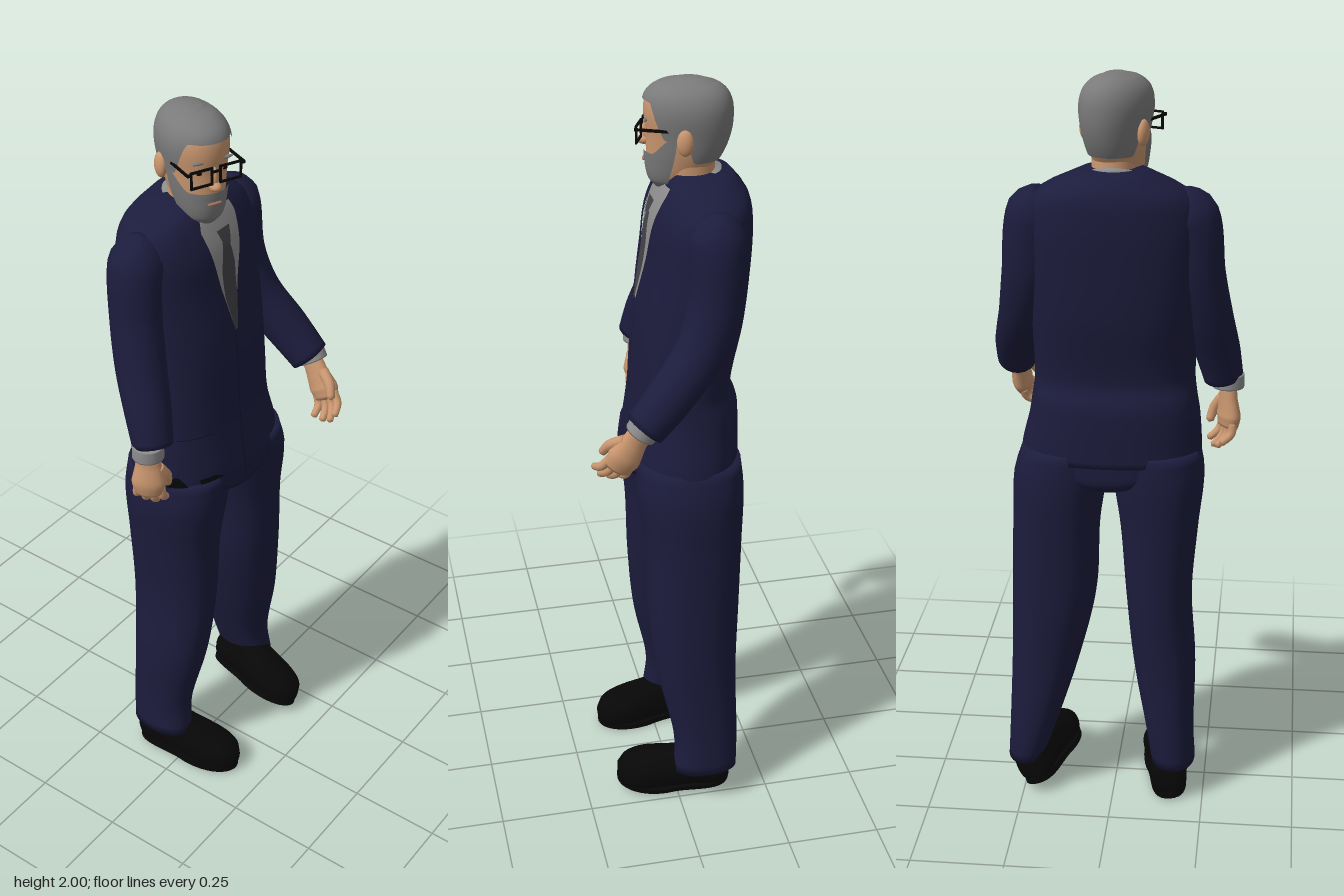
import * as THREE from 'three';
import { mergeVertices } from 'three/addons/utils/BufferGeometryUtils.js';

const mat = (name, color) => {
  const m = new THREE.MeshStandardMaterial({ color });
  m.name = name;
  return m;
};

// Weld and smooth a geometry
function smooth(geo) {
  geo.deleteAttribute('uv');
  geo.deleteAttribute('normal');
  const g = mergeVertices(geo, 1e-5);
  g.computeVertexNormals();
  return g;
}

// Grid surface from a function of (column, row), both 0..1
function grid(cols, rows, fn) {
  const pos = [], idx = [];
  for (let j = 0; j <= rows; j++) for (let i = 0; i <= cols; i++) pos.push(...fn(i / cols, j / rows));
  for (let j = 0; j < rows; j++) for (let i = 0; i < cols; i++) {
    const a = j * (cols + 1) + i, c = a + cols + 1;
    idx.push(a, a + 1, c + 1, a, c + 1, c);
  }
  const g = new THREE.BufferGeometry();
  g.setAttribute('position', new THREE.Float32BufferAttribute(pos, 3));
  g.setIndex(idx);
  return smooth(g);
}

// Smooth interpolation of sections [y, cx, cz, rx, rz]
function sectionAt(S, y) {
  let k = 0;
  while (k < S.length - 2 && y > S[k + 1][0]) k++;
  const a = S[k], b = S[k + 1], h = b[0] - a[0];
  const t = THREE.MathUtils.clamp((y - a[0]) / h, 0, 1), t2 = t * t, t3 = t2 * t;
  const slope = (i, c) => {
    const p = S[Math.max(i - 1, 0)], q = S[Math.min(i + 1, S.length - 1)];
    return (q[c] - p[c]) / (q[0] - p[0]);
  };
  return [1, 2, 3, 4].map(c => (2 * t3 - 3 * t2 + 1) * a[c] + (t3 - 2 * t2 + t) * h * slope(k, c)
    + (3 * t2 - 2 * t3) * b[c] + (t3 - t2) * h * slope(k + 1, c));
}

// Surface around the sections; u = 0 is the front, low and high give its edges
function wrap(S, { n = 2, off = 0, u = Math.PI, low = () => S[0][0], high = () => S[S.length - 1][0],
  cols = 40, rows = 36, capLow = true, capHigh = true } = {}) {
  return grid(cols, rows + 2, (a, b) => {
    const ang = (a * 2 - 1) * u, r = Math.round(b * (rows + 2));
    const y = THREE.MathUtils.lerp(low(ang), high(ang), THREE.MathUtils.clamp((r - 1) / rows, 0, 1));
    const [cx, cz, rx, rz] = sectionAt(S, y);
    const k = (capLow && r === 0) || (capHigh && r === rows + 2) ? 0 : 1;
    const pw = v => Math.sign(v) * Math.abs(v) ** (2 / n);
    return [cx + k * (rx + off) * pw(Math.sin(ang)), y, cz + k * (rz + off) * pw(Math.cos(ang))];
  });
}

// Thin cloth lying on the front of a body; rows are [y, left x, right x] from low to high
function plate(S, n, rows, off) {
  const fine = 8 * (rows.length - 1);
  return grid(8, fine, (a, b) => {
    const f = Math.min(b * (rows.length - 1), rows.length - 1.0001), k = Math.floor(f);
    const [y, l, r] = rows[k].map((v, c) => THREE.MathUtils.lerp(v, rows[k + 1][c], f - k));
    const [cx, cz, rx, rz] = sectionAt(S, y), x = THREE.MathUtils.lerp(l, r, a);
    const t = Math.min(Math.abs((x - cx) / rx), 1);
    return [x, y, cz + rz * (1 - t ** n) ** (1 / n) + off];
  });
}

// Tapered closed tube through points [x, y, z, radius]
function limb(P, seg = 32, sides = 16) {
  const curve = new THREE.CatmullRomCurve3(P.map(p => new THREE.Vector3(p[0], p[1], p[2])));
  const g = new THREE.TubeGeometry(curve, seg, 1, sides), pos = g.attributes.position, v = new THREE.Vector3();
  for (let i = 0; i <= seg; i++) {
    const c = curve.getPointAt(i / seg), f = curve.getUtoTmapping(i / seg) * (P.length - 1);
    const k = Math.min(Math.floor(f), P.length - 2);
    const r = i === 0 || i === seg ? 0 : THREE.MathUtils.lerp(P[k][3], P[k + 1][3], f - k);
    for (let j = 0; j <= sides; j++) {
      const id = i * (sides + 1) + j;
      v.fromBufferAttribute(pos, id).sub(c).multiplyScalar(r).add(c);
      pos.setXYZ(id, v.x, v.y, v.z);
    }
  }
  return smooth(g);
}

export function createModel() {
  const suit = mat('navy suit', 0x1c1c3d), skin = mat('skin', 0xc9966f), hair = mat('grey hair', 0x7a7a7a);
  const shirt = mat('grey shirt', 0x8c8c8c), tie = mat('dark tie', 0x424247), black = mat('black', 0x070707);
  const seam = mat('dark seam', 0x12122a), lips = mat('lips', 0xa0705a);
  const root = new THREE.Group();
  const add = (name, geo, m, parent = root) => {
    const mesh = new THREE.Mesh(geo, m);
    mesh.name = name;
    parent.add(mesh);
    return mesh;
  };

  // Jacket body
  const T = [[0.95, 0.01, -0.045, 0.24, 0.145], [1.03, 0.008, -0.046, 0.236, 0.145], [1.12, 0, -0.053, 0.222, 0.139],
    [1.17, 0, -0.054, 0.214, 0.135], [1.22, 0, -0.046, 0.208, 0.124], [1.4, 0, -0.069, 0.212, 0.134], [1.55, 0, -0.088, 0.218, 0.128],
    [1.65, 0, -0.096, 0.215, 0.123], [1.72, 0, -0.104, 0.182, 0.106], [1.768, 0, -0.098, 0.078, 0.074]];
  const N = 2.3;
  add('jacketBody', wrap(T, { n: N, low: u => 1.005 - 0.045 * Math.max(0, Math.cos(u)) ** 8, rows: 48, cols: 56 }), suit);
  add('shirtFront', plate(T, N, [[1.43, -0.014, -0.006], [1.58, -0.045, 0.036], [1.7, -0.075, 0.07], [1.74, -0.06, 0.06]], 0.004), shirt);
  add('tieBlade', plate(T, N, [[1.43, -0.014, -0.004], [1.52, -0.033, 0.014], [1.6, -0.034, 0.018], [1.665, -0.018, 0.008]], 0.008), tie);
  add('tieKnot', plate(T, N, [[1.66, -0.018, 0.008], [1.7, -0.03, 0.02]], 0.012), tie);
  for (const s of [-1, 1]) {
    const lapel = [[1.42, 0, 0.012], [1.55, 0.03, 0.085], [1.63, 0.047, 0.11], [1.73, 0.068, 0.1]];
    const row = r => s > 0 ? r : [r[0], -r[2] - 0.01, -r[1] - 0.01];
    add('lapel', plate(T, N, lapel.map(row), 0.006), suit);
    add('pocketSeam', plate(T, N, [[1.165, 0.1, 0.185], [1.168, 0.1, 0.185]].map(row), 0.003), seam);
  }
  add('frontSeam', plate(T, N, [[0.99, -0.014, -0.011], [1.42, -0.011, -0.008]], 0.003), seam);
  add('liningFold', plate(T, N, [[1.03, -0.16, -0.09], [1.045, -0.165, -0.12]], 0.004), black);
  add('liningFold', plate(T, N, [[1.03, -0.222, -0.19], [1.06, -0.218, -0.205]], 0.006), black);

  // Trousers
  add('trouserSeat', wrap([[0.92, 0.012, -0.05, 0.06, 0.09], [0.945, 0.012, -0.05, 0.15, 0.128], [0.99, 0.01, -0.046, 0.226, 0.139],
    [1.08, 0, -0.05, 0.21, 0.13]], { n: N }), suit);
  const legs = {
    right: [[0.1, -0.165, -0.073, 0.06, 0.09], [0.2, -0.155, -0.078, 0.065, 0.088], [0.4, -0.137, -0.058, 0.084, 0.108],
      [0.6, -0.12, -0.053, 0.088, 0.122], [0.8, -0.119, -0.053, 0.103, 0.128], [0.95, -0.115, -0.047, 0.121, 0.14], [1.03, -0.107, -0.047, 0.117, 0.134]],
    left: [[0.1, 0.246, -0.073, 0.05, 0.088], [0.2, 0.225, -0.078, 0.065, 0.088], [0.4, 0.19, -0.058, 0.093, 0.108],
      [0.6, 0.165, -0.053, 0.114, 0.122], [0.8, 0.157, -0.053, 0.116, 0.128], [0.95, 0.143, -0.047, 0.124, 0.14], [1.03, 0.127, -0.047, 0.115, 0.134]],
  };
  for (const side in legs) add(side + 'TrouserLeg', wrap(legs[side], { n: 2.2 }), suit);

  // Shoes, lofted along their length, with flat soles
  const shoeGeo = wrap([[-0.15, 0, -0.05, 0.03, 0.03], [-0.13, 0, -0.055, 0.046, 0.06], [-0.05, 0, -0.06, 0.05, 0.065],
    [0.02, 0, -0.052, 0.056, 0.062], [0.09, 0, -0.044, 0.062, 0.051], [0.14, 0, -0.038, 0.047, 0.04], [0.162, 0, -0.034, 0.02, 0.022]], { n: 2.3 });
  shoeGeo.rotateX(Math.PI / 2);
  const shoePos = shoeGeo.attributes.position;
  for (let i = 0; i < shoePos.count; i++) shoePos.setY(i, Math.max(shoePos.getY(i), 0.012));
  shoeGeo.computeVertexNormals();
  const sole = new THREE.Shape();
  sole.moveTo(0, 0.163);
  sole.bezierCurveTo(0.05, 0.163, 0.078, 0.08, 0.056, 0);
  sole.bezierCurveTo(0.045, -0.06, 0.06, -0.15, 0, -0.152);
  sole.bezierCurveTo(-0.06, -0.15, -0.045, -0.06, -0.056, 0);
  sole.bezierCurveTo(-0.078, 0.08, -0.05, 0.163, 0, 0.163);
  const soleGeo = new THREE.ExtrudeGeometry(sole, { depth: 0.018, bevelEnabled: false, curveSegments: 12 });
  soleGeo.rotateX(Math.PI / 2).translate(0, 0.018, 0);
  for (const [name, x, yaw, roll, y] of [['rightShoe', -0.145, 0.12, -0.08, 0.005], ['leftShoe', 0.186, -0.19, -0.34, 0.028]]) {
    const shoe = new THREE.Group();
    shoe.name = name;
    shoe.position.set(x, y, 0);
    shoe.rotation.set(0, yaw, roll);
    add('shoeUpper', shoeGeo, black, shoe);
    add('shoeSole', soleGeo, black, shoe);
    root.add(shoe);
  }

  // Sleeves, cuffs and hands
  const arms = [
    ['left', 1, [[0.15, 1.69, -0.1, 0.04], [0.193, 1.655, -0.098, 0.073], [0.215, 1.5, -0.088, 0.069], [0.237, 1.38, -0.045, 0.064],
      [0.266, 1.28, 0.035, 0.059], [0.281, 1.195, 0.112, 0.052]], [0.28, 1.195, 0.112], [-0.55, 0, -0.1]],
    ['right', -1, [[-0.14, 1.69, -0.1, 0.04], [-0.188, 1.655, -0.095, 0.073], [-0.212, 1.5, -0.083, 0.069], [-0.238, 1.38, -0.055, 0.064],
      [-0.262, 1.28, -0.018, 0.059], [-0.28, 1.19, 0.01, 0.051]], [-0.292, 1.175, 0.002], [0, 0.5, 0]],
  ];
  for (const [side, s, path, wrist, turn] of arms) {
    add(side + 'Sleeve', limb(path, 40, 20), suit);
    const hand = new THREE.Group();
    hand.name = side + 'Hand';
    hand.position.set(...wrist);
    hand.rotation.set(...turn);
    add('shirtCuff', limb([[0, 0.04, 0, 0.04], [0, 0.02, 0, 0.041], [0, -0.004, 0, 0.041]], 12), shirt, hand);
    const palm = add('palm', limb([[0, 0.02, 0, 0.03], [0, -0.03, 0, 0.034], [0.004 * s, -0.08, 0, 0.045], [0, -0.118, 0, 0.034]], 20), skin, hand);
    palm.scale.x = 0.62;
    for (let f = 0; f < 4; f++) {
      const z = 0.032 - f * 0.021, len = [0.055, 0.068, 0.062, 0.045][f];
      add('finger', limb([[0, -0.09, z * 0.9, 0.012], [-0.006 * s, -0.1 - len * 0.5, z * 1.05, 0.0115],
        [-0.04 * s, -0.1 - len, z * 1.15, 0.009]], 14, 10), skin, hand);
    }
    add('thumb', limb([[0, -0.03, 0.02, 0.016], [-0.018 * s, -0.07, 0.042, 0.014], [-0.034 * s, -0.11, 0.042, 0.01]], 14, 10), skin, hand);
    root.add(hand);
  }

  // Neck and collar
  add('neck', wrap([[1.68, 0, -0.08, 0.06, 0.062], [1.82, 0, -0.07, 0.054, 0.062]], { rows: 6 }), skin);
  add('shirtCollar', wrap([[1.69, 0, -0.075, 0.078, 0.078], [1.775, 0, -0.085, 0.062, 0.066]],
    { high: u => 1.775 - 0.035 * (0.5 + 0.5 * Math.cos(u)), rows: 6 }), shirt);
  add('jacketCollar', wrap([[1.68, 0, -0.088, 0.1, 0.095], [1.78, 0, -0.1, 0.068, 0.066]],
    { high: u => 1.765 - 0.07 * (0.5 + 0.5 * Math.cos(u)), rows: 6 }), suit);

  // Head, turned toward its right
  const head = new THREE.Group();
  head.name = 'head';
  head.position.set(-0.004, 0, -0.07);
  head.rotation.y = -0.42;
  root.add(head);
  const H = [[1.722, 0, 0.04, 0.028, 0.038], [1.745, 0, 0.034, 0.048, 0.062], [1.8, 0, 0.016, 0.064, 0.089], [1.86, 0, 0.004, 0.073, 0.102],
    [1.92, 0, 0.004, 0.079, 0.108], [1.96, 0, 0.004, 0.069, 0.098], [1.985, 0, 0, 0.045, 0.068], [1.996, 0, -0.004, 0.016, 0.026]];
  const ss = (a, b, x) => THREE.MathUtils.smoothstep(x, a, b);
  add('skull', wrap(H, { n: 2.1 }), skin, head);
  add('hair', wrap(H, { n: 2.1, off: 0.005, cols: 64, capLow: false, high: () => 1.997,
    low: u => 1.945 - 0.09 * ss(0.75, 1.25, Math.abs(u)) - 0.055 * ss(1.65, 2.05, Math.abs(u)) }), hair, head);
  add('beard', wrap(H, { n: 2.1, off: 0.006, u: 1.5, capHigh: false,
    high: u => 1.816 + 0.046 * ss(0.8, 1.4, Math.abs(u)) }), hair, head);
  const ball = (name, m, r, x, y, z) => {
    const b = add(name, new THREE.SphereGeometry(1, 20, 14), m, head);
    b.scale.set(...r);
    b.position.set(x, y, z);
  };
  ball('nose', skin, [0.015, 0.012, 0.018], 0, 1.834, 0.112);
  ball('noseBridge', skin, [0.01, 0.03, 0.012], 0, 1.854, 0.106);
  ball('mouth', lips, [0.02, 0.004, 0.006], 0, 1.788, 0.11);
  for (const s of [-1, 1]) {
    ball('ear', skin, [0.014, 0.033, 0.021], s * 0.081, 1.858, -0.008);
    ball('eyebrow', hair, [0.021, 0.004, 0.006], s * 0.034, 1.897, 0.099);
    ball('eye', black, [0.008, 0.004, 0.004], s * 0.034, 1.868, 0.097);
  }

  // Glasses
  const rim = new THREE.Shape(), hole = new THREE.Path();
  for (const [p, w, h] of [[rim, 0.03, 0.023], [hole, 0.025, 0.018]]) {
    p.moveTo(-w, -h);
    p.lineTo(w, -h);
    p.lineTo(w, h);
    p.lineTo(-w, h);
    p.closePath();
  }
  rim.holes.push(hole);
  const rimGeo = new THREE.ExtrudeGeometry(rim, { depth: 0.005, bevelEnabled: false });
  for (const s of [-1, 1]) {
    add('glassesRim', rimGeo, black, head).position.set(s * 0.039, 1.866, 0.114);
    add('glassesTemple', new THREE.BoxGeometry(0.004, 0.007, 0.125), black, head).position.set(s * 0.076, 1.882, 0.055);
    add('glassesHinge', new THREE.BoxGeometry(0.012, 0.007, 0.005), black, head).position.set(s * 0.072, 1.882, 0.1165);
  }
  add('glassesBridge', new THREE.BoxGeometry(0.02, 0.005, 0.005), black, head).position.set(0, 1.876, 0.1165);
  return root;
}
